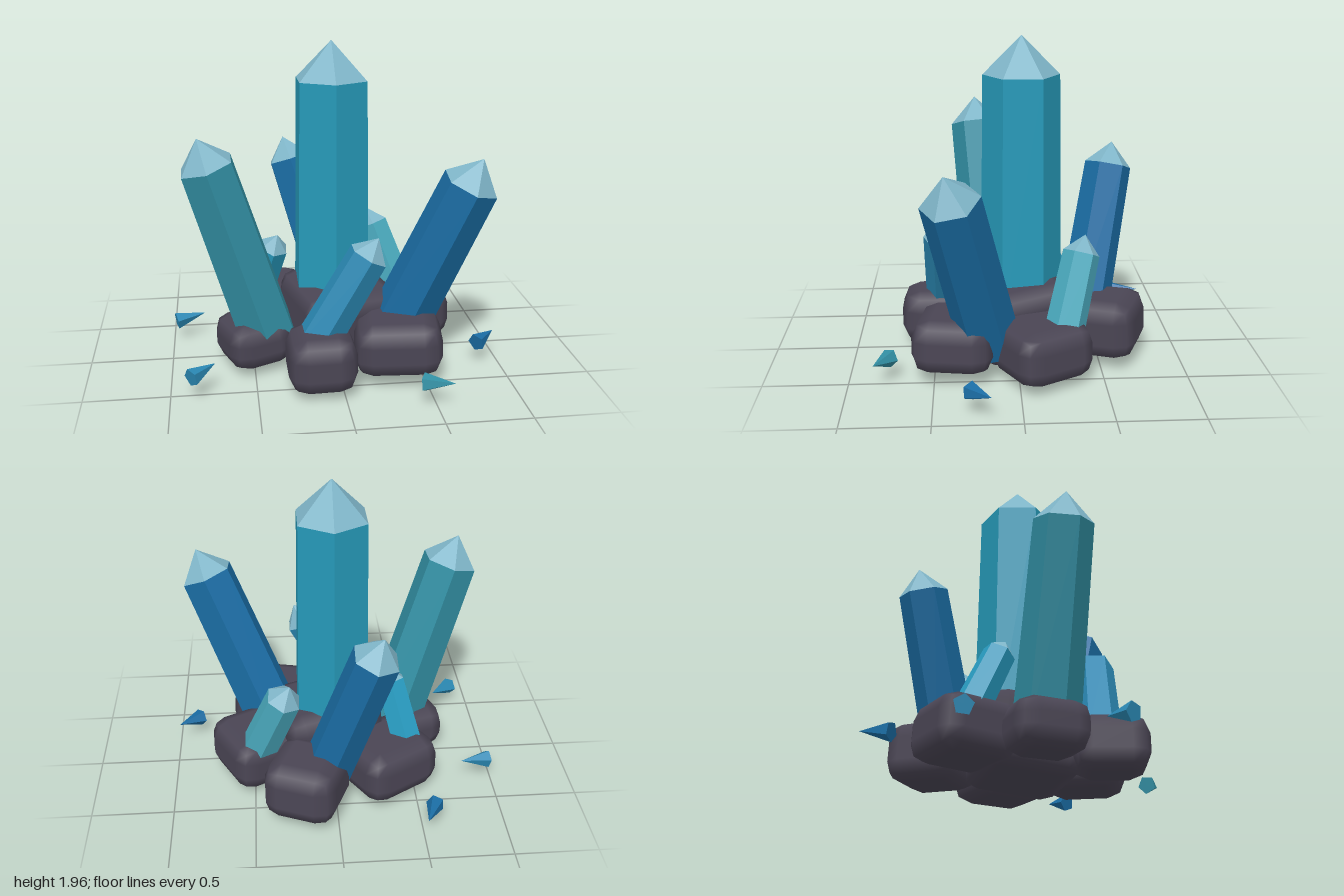
import * as THREE from 'three';
import { RoundedBoxGeometry } from 'three/addons/geometries/RoundedBoxGeometry.js';

const UP = new THREE.Vector3(0, 1, 0);
const flat = (color) => new THREE.MeshStandardMaterial({ color, flatShading: true });
const tipMaterial = flat(0x7fb5c8);
const rockMaterial = new THREE.MeshStandardMaterial({ color: 0x4a4554 });

// Group whose local y axis runs from one point towards another
function alongAxis(name, from, to) {
  const a = new THREE.Vector3(...from);
  const dir = new THREE.Vector3(...to).sub(a);
  const group = new THREE.Group();
  group.name = name;
  group.position.copy(a);
  group.userData.length = dir.length();
  group.quaternion.setFromUnitVectors(UP, dir.normalize());
  return group;
}

function add(parent, name, geometry, material, y) {
  const mesh = new THREE.Mesh(geometry, material);
  mesh.name = name;
  mesh.position.y = y;
  parent.add(mesh);
}

// Hexagonal prism, a little wider at the root, with a pale pointed tip
function crystal(name, root, tip, radius, color) {
  const group = alongAxis(name, root, tip);
  const body = group.userData.length - radius;
  add(group, name + 'Body', new THREE.CylinderGeometry(radius, radius * 1.1, body, 6), flat(color), body / 2);
  add(group, name + 'Tip', new THREE.ConeGeometry(radius, radius, 6), tipMaterial, body + radius / 2);
  return group;
}

// Loose splinter lying on its side
function shard(root, tip, color) {
  const group = alongAxis('shard', root, tip);
  const length = group.userData.length;
  add(group, 'shardSplinter', new THREE.ConeGeometry(0.056, length, 5), flat(color), length / 2);
  return group;
}

// Boulder with chamfered edges
function rock(name, size, position, rotation) {
  const mesh = new THREE.Mesh(new RoundedBoxGeometry(...size, 1, 0.11), rockMaterial);
  mesh.name = name;
  mesh.position.set(...position);
  mesh.rotation.set(...rotation);
  return mesh;
}

export function createModel() {
  const model = new THREE.Group();
  model.name = 'crystalCluster';

  // Ring of rocks around a larger central one
  const rocks = [
    ['centreRock', [0.64, 0.46, 0.6], [0.04, 0.255, 0], [0.1, 0.3, -0.08]],
    ['frontRock', [0.4, 0.33, 0.44], [-0.125, 0.19, 0.49], [0, 0, 0.02]],
    ['frontLeftRock', [0.52, 0.32, 0.48], [0.35, 0.215, 0.37], [0, -0.15, 0.04]],
    ['leftRock', [0.49, 0.33, 0.49], [0.47, 0.2, -0.13], [0, 0.5, 0.03]],
    ['backLeftRock', [0.45, 0.36, 0.46], [0.18, 0.23, -0.53], [0.04, -0.4, 0]],
    ['backRightRock', [0.52, 0.33, 0.48], [-0.32, 0.21, -0.32], [0.04, 0.55, 0]],
    ['rightRock', [0.4, 0.29, 0.43], [-0.5, 0.175, 0.12], [0, 0.35, 0.06]],
  ];
  rocks.forEach((r) => model.add(rock(...r)));

  // Crystals: root, tip, radius, colour
  const crystals = [
    ['mainCrystal', [0, 0.2, -0.035], [0, 1.96, -0.035], 0.23, 0x2699b8],
    ['tallRightCrystal', [-0.41, 0.18, 0.12], [-0.8, 1.455, 0.24], 0.17, 0x328fa3],
    ['tallLeftCrystal', [0.36, 0.18, 0.17], [0.82, 1.33, 0.415], 0.17, 0x1a6ca3],
    ['backCrystal', [0.07, 0.18, -0.41], [-0.25, 1.26, -0.62], 0.145, 0x1a6ca3],
    ['frontCrystal', [-0.18, 0.2, 0.43], [0.215, 0.89, 0.44], 0.12, 0x2a88b3],
    ['backLeftCrystal', [0.5, 0.2, -0.24], [0.27, 0.82, -0.4], 0.11, 0x4aa9bd],
    ['backRightCrystal', [-0.48, 0.2, -0.32], [-0.33, 0.75, -0.1], 0.095, 0x289bc0],
  ];
  crystals.forEach((c) => model.add(crystal(...c)));

  // Splinters scattered around the rocks
  const shards = [
    [[-0.58, 0.13, -0.68], [-0.51, 0.155, -0.86], 0x1a6ca3],
    [[-0.98, 0.13, -0.285], [-0.8, 0.155, -0.33], 0x2a88b3],
    [[-0.88, 0.13, 0.54], [-0.74, 0.155, 0.42], 0x2a88b3],
    [[0.43, 0.13, 0.76], [0.59, 0.155, 0.845], 0x328fa3],
    [[0.86, 0.13, 0.29], [0.995, 0.155, 0.175], 0x1a6ca3],
  ];
  shards.forEach((s) => model.add(shard(...s)));

  return model;
}
